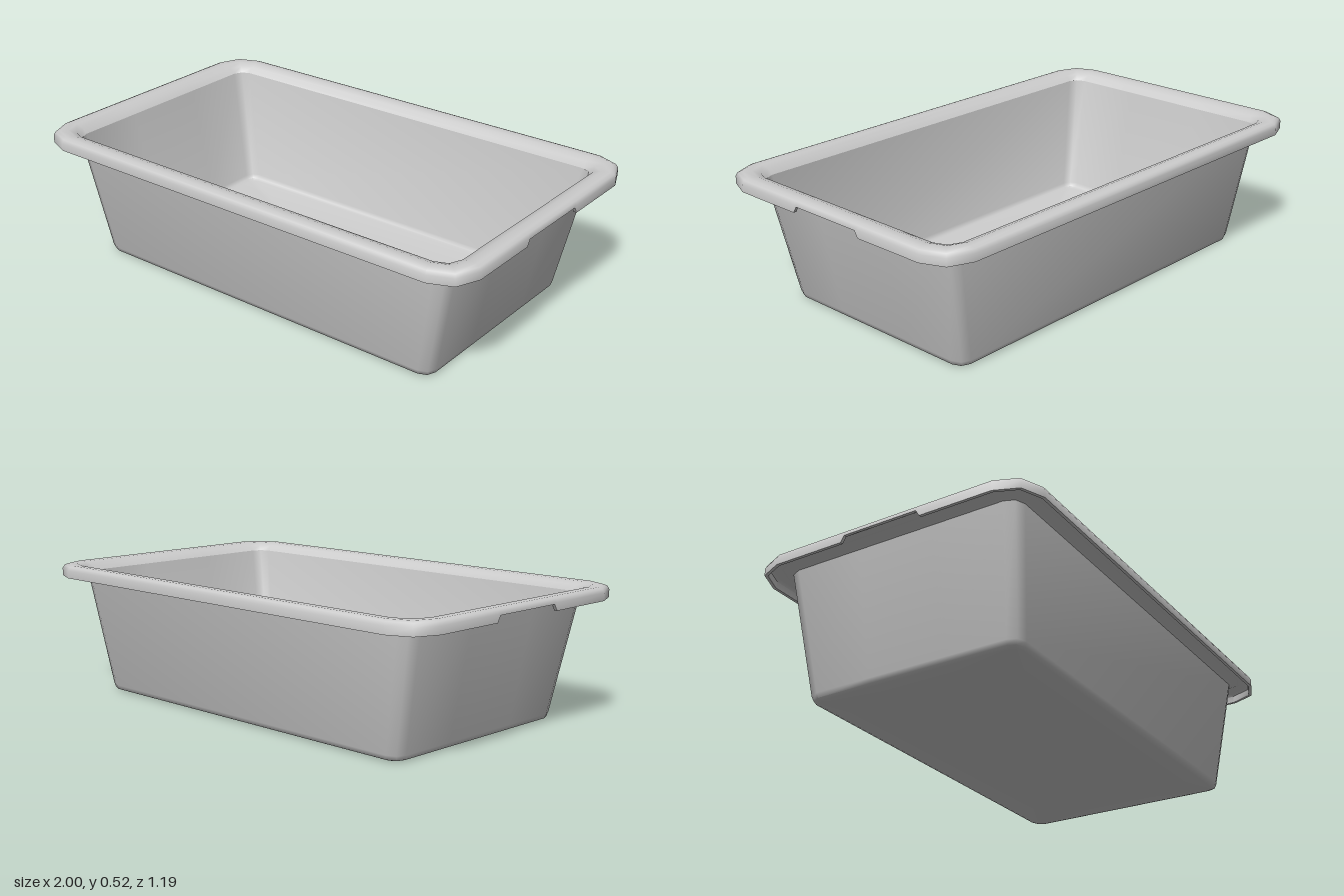
import * as THREE from 'three';
import { toCreasedNormals } from 'three/addons/utils/BufferGeometryUtils.js';

const NOTCH_Y = 0.5; // top of the grip cut-outs in the end lips

// Rounded-rectangle loop (half sizes hx, hz, corner radius r) at height y.
// Each end side carries four extra points for the grip notch.
function ring([hx, hz, r, y, notched]) {
  const pts = [];
  const endSide = (s) => {
    for (const z of [-0.17, -0.155, 0.155, 0.17]) {
      const cut = notched && Math.abs(z) < 0.16;
      pts.push([s * hx, cut ? NOTCH_Y : y, s * z]);
    }
  };
  const corner = (sx, sz, start) => {
    for (let k = 0; k <= 2; k++) {
      const a = start + (k * Math.PI) / 4;
      pts.push([sx * (hx - r) + r * Math.cos(a), y, sz * (hz - r) + r * Math.sin(a)]);
    }
  };
  endSide(1);
  corner(1, 1, 0);
  corner(-1, 1, Math.PI / 2);
  endSide(-1);
  corner(-1, -1, Math.PI);
  corner(1, -1, Math.PI * 1.5);
  return pts;
}

// Skin a list of loops; optionally cap the first and last loop
function loft(sections, capStart, capEnd) {
  const rings = sections.map(ring);
  const n = rings[0].length;
  const pos = rings.flat(2);
  const idx = [];
  for (let i = 0; i < rings.length - 1; i++) {
    for (let j = 0; j < n; j++) {
      const a = i * n + j, b = i * n + (j + 1) % n;
      idx.push(a, a + n, b, b, a + n, b + n);
    }
  }
  const cap = (i, flip) => {
    const c = pos.length / 3;
    pos.push(0, sections[i][3], 0);
    for (let j = 0; j < n; j++) {
      const a = i * n + j, b = i * n + (j + 1) % n;
      idx.push(c, flip ? b : a, flip ? a : b);
    }
  };
  if (capStart) cap(0, false);
  if (capEnd) cap(rings.length - 1, true);
  const g = new THREE.BufferGeometry();
  g.setAttribute('position', new THREE.Float32BufferAttribute(pos, 3));
  g.setIndex(idx);
  return toCreasedNormals(g, 0.9);
}

export function createModel() {
  const group = new THREE.Group();
  group.name = 'storageTub';
  const mat = new THREE.MeshStandardMaterial({ color: 0xcccccc, side: THREE.DoubleSide });
  const add = (name, geo) => {
    const m = new THREE.Mesh(geo, mat);
    m.name = name;
    group.add(m);
  };

  // Outer shell: base, rounded foot, tapered walls
  add('outerShell', loft([
    [0.78, 0.43, 0.035, 0],
    [0.797, 0.445, 0.045, 0.006],
    [0.804, 0.452, 0.05, 0.024],
    [0.9, 0.502, 0.055, 0.495],
  ], true, false));

  // Hollow rolled rim with a hanging lip, notched at both ends
  add('rim', loft([
    [0.9, 0.502, 0.055, 0.495],
    [0.94, 0.54, 0.09, 0.512],
    [0.975, 0.57, 0.115, 0.51],
    [0.986, 0.581, 0.12, 0.502],
    [0.988, 0.583, 0.12, 0.475, true],
    [1, 0.595, 0.13, 0.475, true],
    [1, 0.595, 0.13, 0.505],
    [0.993, 0.588, 0.125, 0.519],
    [0.978, 0.573, 0.115, 0.525],
    [0.945, 0.543, 0.095, 0.524],
    [0.915, 0.515, 0.07, 0.514],
    [0.893, 0.496, 0.05, 0.492],
  ], false, false));

  // Inner shell: tapered walls, rounded foot and floor
  add('innerShell', loft([
    [0.893, 0.496, 0.05, 0.492],
    [0.794, 0.442, 0.045, 0.034],
    [0.787, 0.435, 0.04, 0.017],
    [0.77, 0.42, 0.03, 0.011],
  ], false, true));

  return group;
}
